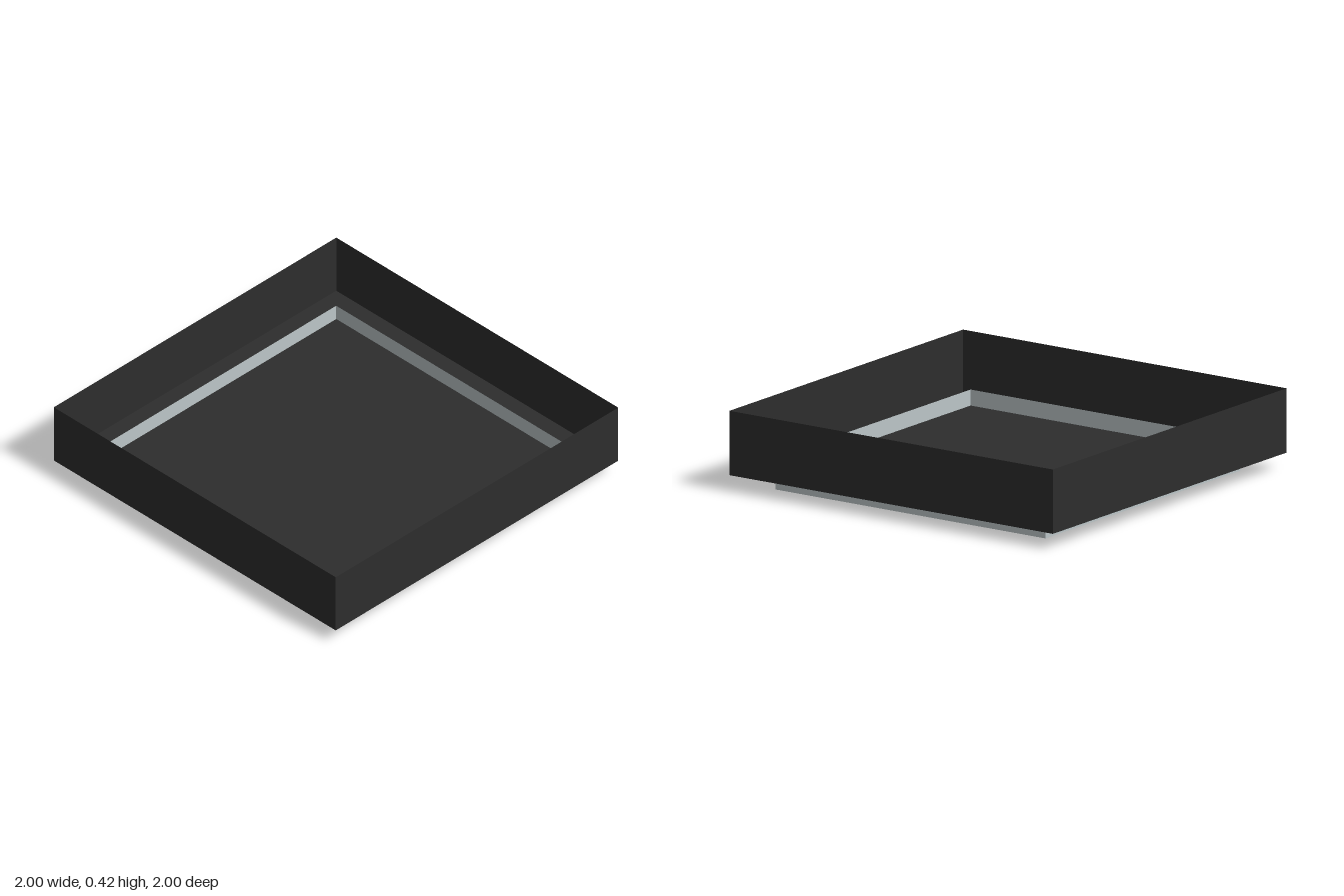
import * as THREE from 'three';

// Thin-walled square box with its top face left out
function openBox(name, size, height, bottom, material) {
  const geometry = new THREE.BoxGeometry(size, height, size);
  const index = Array.from(geometry.index.array);
  index.splice(12, 6); // the +y face
  geometry.setIndex(index);
  geometry.clearGroups();
  geometry.translate(0, bottom + height / 2, 0);
  const mesh = new THREE.Mesh(geometry, material);
  mesh.name = name;
  return mesh;
}

export function createModel() {
  const darkMetal = new THREE.MeshStandardMaterial({ color: 0x2d2d2d, side: THREE.DoubleSide });
  darkMetal.name = 'dark metal';
  const paleGlass = new THREE.MeshStandardMaterial({ color: 0xbcc6c8, side: THREE.DoubleSide });
  paleGlass.name = 'pale glass';

  const model = new THREE.Group();
  model.name = 'ceilingLight';
  // Housing: dark tray, open above
  model.add(openBox('housing', 2, 0.333, 0.084, darkMetal));
  // Diffuser: pale pan passing through the housing floor
  model.add(openBox('diffuser', 1.667, 0.167, 0, paleGlass));
  return model;
}
